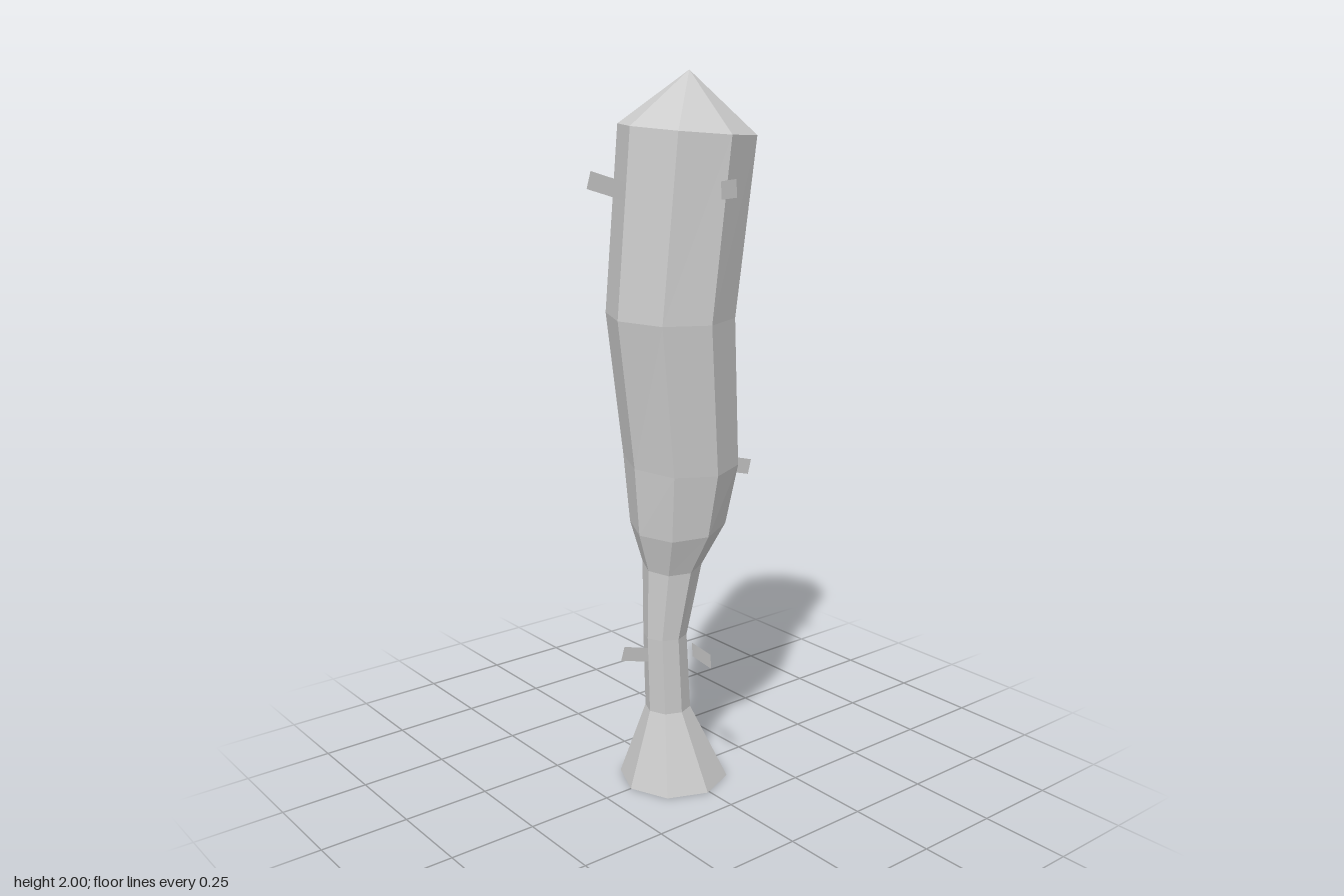
import * as THREE from 'three';

const SIDES = 8;
const material = new THREE.MeshStandardMaterial({
  color: 0xcccccc, flatShading: true, side: THREE.DoubleSide,
});

// Trunk rings from the root up: height, centre x, radius, tilt along x, tilt along z
const RINGS = [
  [0.0, -0.007, 0.157, 0, 0],
  [0.222, -0.028, 0.065, 0, 0],
  [0.447, -0.038, 0.062, 0, 0],
  [0.655, -0.012, 0.084, 0.008, -0.01],
  [0.771, 0.008, 0.135, 0.014, -0.012],
  [0.95, 0.019, 0.161, 0, -0.014],
  [1.36, -0.018, 0.176, 0, -0.007],
  [1.848, 0.04, 0.189, -0.01, -0.011],
];
const APEX = [0.047, 2, 0];

// Eight-sided bent trunk, open at the root, closed by a pointed tip
function trunkGeometry() {
  const positions = [], index = [];
  for (const [y, cx, r, tiltX, tiltZ] of RINGS) {
    const rz = Math.min(r, 0.182);
    for (let i = 0; i < SIDES; i++) {
      const a = (i / SIDES) * Math.PI * 2, c = Math.cos(a), s = Math.sin(a);
      positions.push(cx + r * c, y + tiltX * c + tiltZ * s, rz * s);
    }
  }
  positions.push(...APEX);
  const last = RINGS.length - 1, tip = RINGS.length * SIDES;
  for (let i = 0; i < SIDES; i++) {
    const j = (i + 1) % SIDES;
    for (let k = 0; k < last; k++) {
      const a = k * SIDES + i, b = k * SIDES + j;
      index.push(a, a + SIDES, b, b, a + SIDES, b + SIDES);
    }
    index.push(last * SIDES + i, tip, last * SIDES + j);
  }
  return build(positions, index);
}

function build(positions, index) {
  const geometry = new THREE.BufferGeometry();
  geometry.setAttribute('position', new THREE.Float32BufferAttribute(positions, 3));
  geometry.setIndex(index);
  geometry.computeVertexNormals();
  return geometry;
}

// Flat strip between two points, its width running square to its length, nearest to "across"
function stripGeometry(from, to, width, across) {
  const a = new THREE.Vector3(...from), b = new THREE.Vector3(...to);
  const along = b.clone().sub(a).normalize();
  const half = new THREE.Vector3(...across);
  half.addScaledVector(along, -half.dot(along)).setLength(width / 2);
  const corners = [
    a.clone().sub(half), b.clone().sub(half), b.clone().add(half), a.clone().add(half),
  ];
  return build(corners.flatMap((p) => p.toArray()), [0, 1, 2, 0, 2, 3]);
}

// Twig strips: start just inside the trunk, then the free end
const TWIGS = [
  ['upperRightTwig', [-0.14, 1.686, 0], [-0.28, 1.727, 0], 0.046],
  ['upperFrontTwig', [0.01, 1.698, 0.175], [-0.03, 1.71, 0.28], 0.046],
  ['middleLeftTwig', [0.15, 0.92, 0], [0.278, 0.886, 0], 0.044],
  ['middleBackTwig', [-0.015, 0.914, -0.15], [0.03, 0.903, -0.276], 0.044],
  ['lowerRightTwig', [-0.085, 0.392, 0], [-0.188, 0.423, 0], 0.04],
  ['lowerFrontTwig', [0.018, 0.4, 0.055], [-0.022, 0.416, 0.184], 0.04],
];

export function createModel() {
  const model = new THREE.Group();
  model.name = 'bentTrunk';
  const add = (name, geometry) => {
    const mesh = new THREE.Mesh(geometry, material);
    mesh.name = name;
    model.add(mesh);
  };

  add('trunk', trunkGeometry());
  for (const [name, from, to, width] of TWIGS) {
    add(name, stripGeometry(from, to, width, [0, 1, 0]));
  }
  // Level strip inside the hollow root
  add('rootStrip', stripGeometry([-0.095, 0.02, 0], [0.095, 0.02, 0], 0.04, [0, 0, 1]));
  return model;
}
